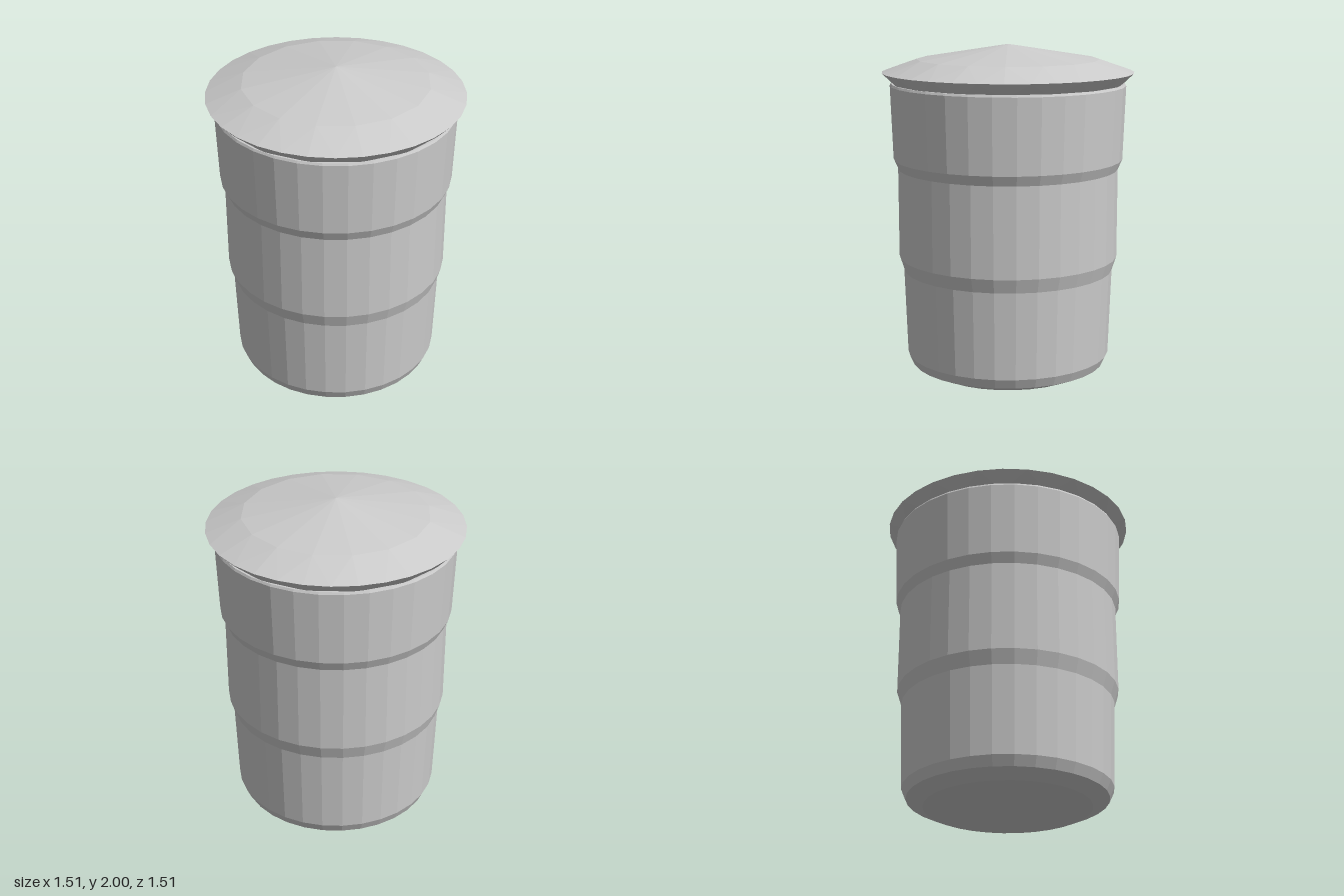
import * as THREE from 'three';

const SIDES = 32, HALF = SIDES / 2;
const material = new THREE.MeshStandardMaterial({ color: 0xcccccc, flatShading: true });

// Point on a horizontal ring, step counted in 1/32 turns
const onRing = (r, y, step) => {
  const a = (step / SIDES) * Math.PI * 2;
  return [r * Math.sin(a), y, r * Math.cos(a)];
};

// Faceted lid: fine 32-sided rim, coarse 16-sided crown and skirt
function lidGeometry() {
  const positions = [];
  const tri = (a, b, c) => positions.push(...a, ...b, ...c);
  const rim = (s) => onRing(0.757, 1.835, s);
  const crown = (s) => onRing(0.55, 1.91, s);
  const skirt = (s) => onRing(0.672, 1.745, s);
  const apex = [0, 2, 0], base = [0, 1.745, 0];
  for (let i = 0; i < HALF; i++) {
    const s = i * 2;
    tri(apex, crown(s), crown(s + 2));
    tri(base, skirt(s + 2), skirt(s));
    // Fan each coarse vertex to the two rim edges beside it, then bridge
    tri(crown(s), rim(s - 1), rim(s));
    tri(crown(s), rim(s), rim(s + 1));
    tri(crown(s), rim(s + 1), crown(s + 2));
    tri(skirt(s), rim(s), rim(s - 1));
    tri(skirt(s), rim(s + 1), rim(s));
    tri(skirt(s), skirt(s + 2), rim(s + 1));
  }
  const geometry = new THREE.BufferGeometry();
  geometry.setAttribute('position', new THREE.Float32BufferAttribute(positions, 3));
  geometry.computeVertexNormals();
  return geometry;
}

export function createModel() {
  const group = new THREE.Group();
  group.name = 'barrel';

  // Stepped body, widening upwards, with a chamfered foot and flat top
  const profile = [
    [0, 0], [0.495, 0], [0.595, 0.045], [0.622, 0.105], [0.64, 0.63], [0.667, 0.715],
    [0.667, 1.255], [0.693, 1.315], [0.709, 1.757], [0.702, 1.77], [0, 1.77],
  ].map(([r, y]) => new THREE.Vector2(r, y));
  const body = new THREE.Mesh(
    new THREE.LatheGeometry(profile, SIDES, Math.PI / SIDES), material);
  body.name = 'body';
  group.add(body);

  // Shallow pointed lid
  const lid = new THREE.Mesh(lidGeometry(), material);
  lid.name = 'lid';
  group.add(lid);

  return group;
}
